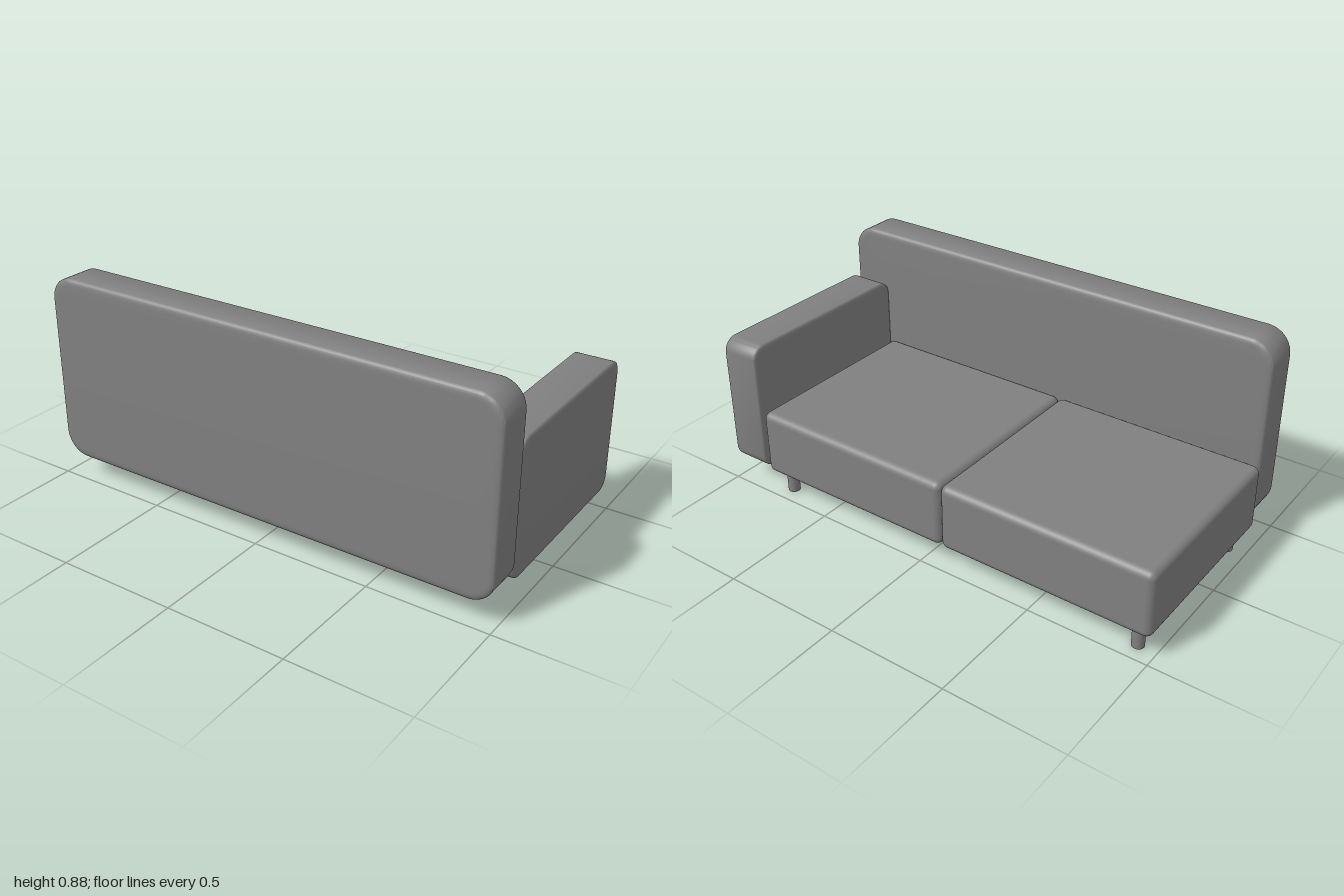
import * as THREE from 'three';
import { toCreasedNormals } from 'three/addons/utils/BufferGeometryUtils.js';
import { RoundedBoxGeometry } from 'three/addons/geometries/RoundedBoxGeometry.js';

// Upholstered slab: rounded rectangle w x h, depth d along z, softened rims
function slab(w, h, d, radius, rim, rimDepth) {
  const x = w / 2 - rim, y = h / 2 - rim, r = radius - rim;
  const s = new THREE.Shape();
  s.moveTo(-x + r, -y);
  s.lineTo(x - r, -y);
  s.absarc(x - r, -y + r, r, -Math.PI / 2, 0);
  s.lineTo(x, y - r);
  s.absarc(x - r, y - r, r, 0, Math.PI / 2);
  s.lineTo(-x + r, y);
  s.absarc(-x + r, y - r, r, Math.PI / 2, Math.PI);
  s.lineTo(-x, -y + r);
  s.absarc(-x + r, -y + r, r, Math.PI, Math.PI * 1.5);
  const depth = d - 2 * rimDepth;
  const geo = new THREE.ExtrudeGeometry(s, {
    depth, curveSegments: 5, bevelEnabled: true,
    bevelSize: rim, bevelThickness: rimDepth, bevelSegments: 4,
  });
  geo.translate(0, 0, -depth / 2);
  return toCreasedNormals(geo, 0.8);
}

export function createModel() {
  const sofa = new THREE.Group();
  sofa.name = 'sofa';
  const grey = new THREE.MeshStandardMaterial({ color: 0x808080 });
  grey.name = 'grey';

  function add(name, geometry, x, y, z) {
    const mesh = new THREE.Mesh(geometry, grey);
    mesh.name = name;
    mesh.position.set(x, y, z);
    sofa.add(mesh);
    return mesh;
  }

  // Backrest along the +z side
  add('backrest', slab(1.985, 0.78, 0.165, 0.1, 0.03, 0.012), 0.005, 0.49, 0.412);

  // Single armrest, slab turned to face sideways
  add('armrest', slab(0.825, 0.56, 0.17, 0.06, 0.022, 0.01), 0.905, 0.38, -0.083)
    .rotation.y = Math.PI / 2;

  // Two seat cushions
  for (const [name, x] of [['rightSeat', -0.547], ['leftSeat', 0.357]]) {
    add(name, new RoundedBoxGeometry(0.904, 0.28, 0.822, 4, 0.03), x, 0.24, -0.084);
  }

  // Four round legs
  for (const x of [-0.922, 0.738]) {
    for (const z of [0.262, -0.426]) {
      add('leg', new THREE.CylinderGeometry(0.025, 0.025, 0.12, 20), x, 0.06, z);
    }
  }
  return sofa;
}
